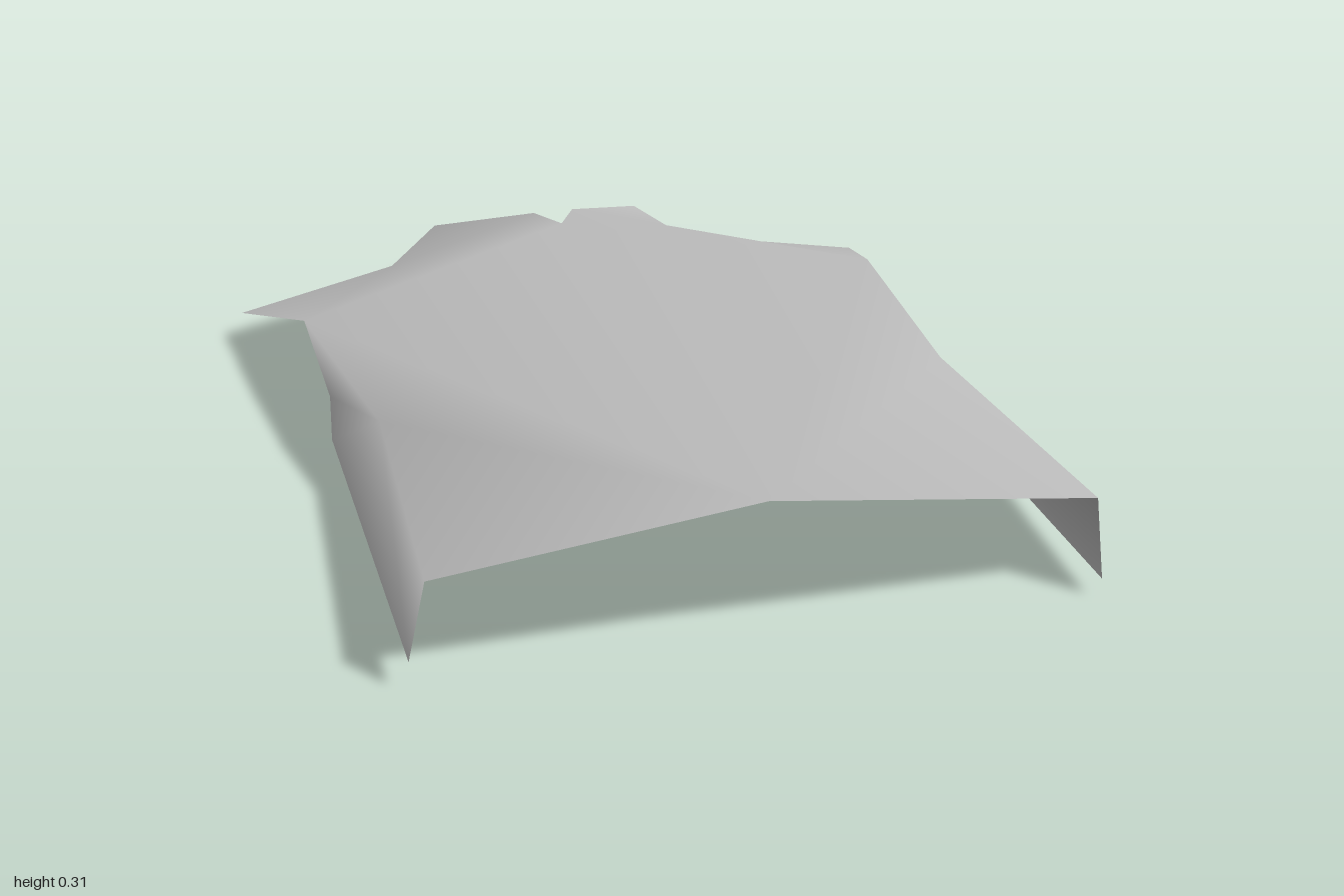
import * as THREE from 'three';

const cloth = new THREE.MeshStandardMaterial({ color: 0xbababa, side: THREE.DoubleSide });
cloth.name = 'grey cloth';

// Points on the centre line, shared by both halves
const centre = {
  hem: [-0.02, 0.31, 0.98],
  vee: [0, 0.245, -0.64],
  bandIn: [0, 0.043, -0.86],
  bandOut: [0, 0.022, -1],
};

// Neck and shoulder points of the left half, mirrored for the right
const upper = {
  armpit: [0.69, 0.2, -0.31],
  shoulder: [0.8, 0.07, -0.7],
  neck: [0.395, 0.08, -0.88],
  lapel: [0.05, 0.245, -0.73],
  collar: [0.27, 0.16, -0.93],
  tip: [0.28, 0.085, -1],
  under: [0.2, 0.07, -0.84],
};

// Side seam and hanging flap differ a little from side to side
const leftSide = {
  fold: [0.63, 0.2, 0.27],
  corner: [0.66, 0.2, 0.95],
  flapFront: [0.667, 0.04, 0.985],
  flapBack: [0.72, 0.003, -0.05],
  notch: [0.67, 0.14, -0.02],
};
const rightSide = {
  fold: [-0.61, 0.2, 0.25],
  corner: [-0.643, 0.215, 0.93],
  flapFront: [-0.68, 0.06, 0.94],
  flapBack: [-0.675, 0.02, -0.05],
  notch: [-0.68, 0.155, 0.01],
};

const mirrored = Object.fromEntries(
  Object.entries(upper).map(([k, [x, y, z]]) => [k, [-x, y, z]]));
const halves = [
  { ...centre, ...upper, ...leftSide },
  { ...centre, ...mirrored, ...rightSide },
];

// Smooth sheet from named triangles, reversed on the mirrored half
function sheet(name, faces) {
  const positions = [], index = [], seen = new Map();
  halves.forEach((points, side) => {
    for (const face of faces) {
      const names = face.split(' ');
      if (side) names.reverse();
      for (const n of names) {
        const key = n in centre ? n : n + side;
        if (!seen.has(key)) {
          seen.set(key, positions.length / 3);
          positions.push(...points[n]);
        }
        index.push(seen.get(key));
      }
    }
  });
  const geometry = new THREE.BufferGeometry();
  geometry.setAttribute('position', new THREE.Float32BufferAttribute(positions, 3));
  geometry.setIndex(index);
  geometry.computeVertexNormals();
  const mesh = new THREE.Mesh(geometry, cloth);
  mesh.name = name;
  return mesh;
}

export function createModel() {
  const group = new THREE.Group();
  group.name = 'shirtFront';

  // Chest panel with shoulders, outer collar and side flaps
  group.add(sheet('chestPanel', [
    'hem corner fold', 'hem fold armpit', 'hem armpit vee',
    'vee armpit lapel', 'lapel armpit neck', 'armpit shoulder neck',
    'lapel neck collar', 'collar neck tip',
    'fold corner flapFront', 'fold flapFront flapBack',
    'fold flapBack notch', 'fold notch armpit',
  ]));

  // Inner side of the collar and the band behind the neck
  group.add(sheet('collarBand', [
    'vee lapel under', 'lapel collar under', 'collar tip under',
    'bandIn under tip', 'bandIn tip bandOut',
  ]));
  return group;
}
